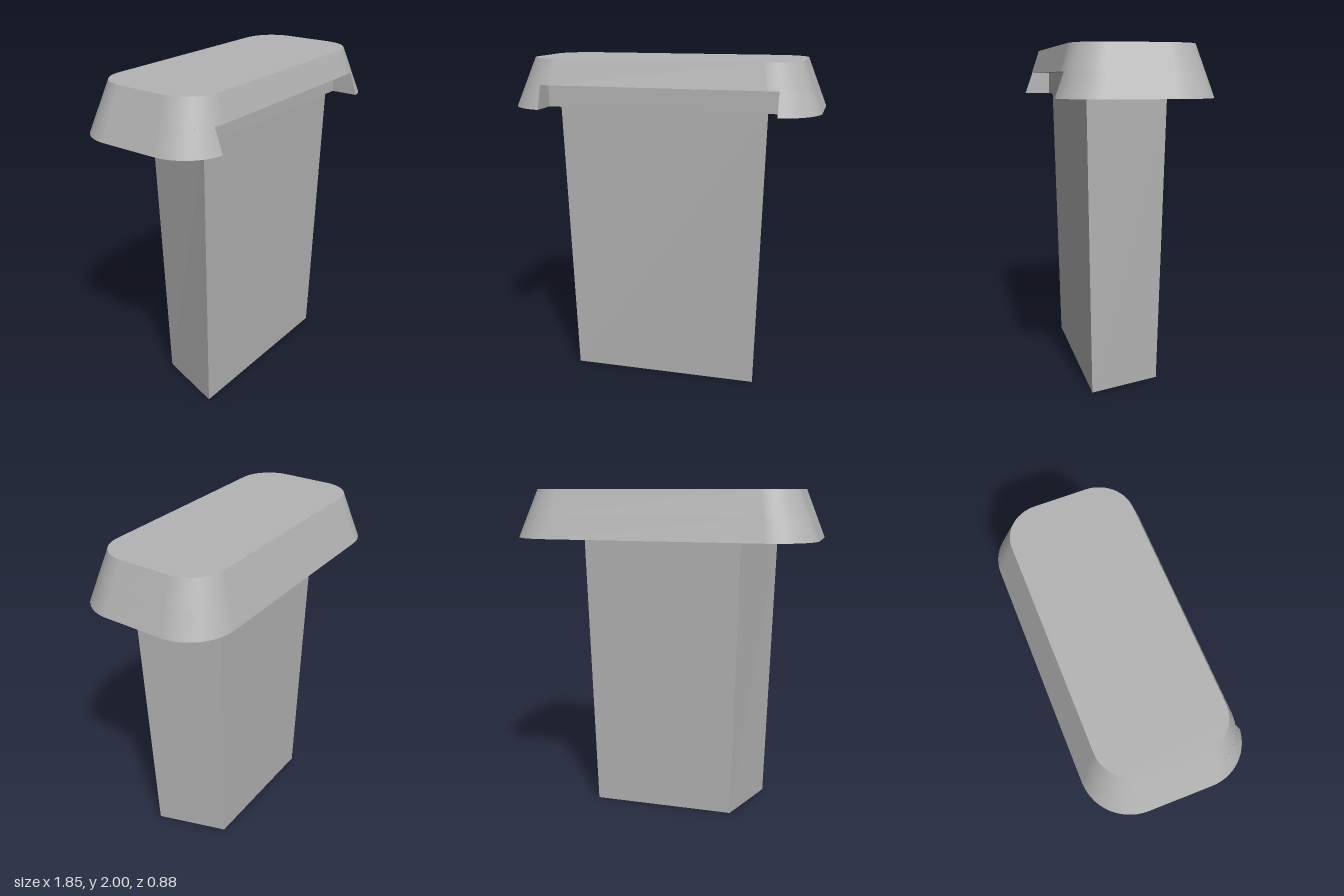
import * as THREE from 'three';

const V = (x, y, z) => new THREE.Vector3(x, y, z);
const NOTCH_X = 0.7, NOTCH_Z = 0.27;          // half width and back wall of the front notch
const Y0 = 1.71, YM = 1.85, Y1 = 2;           // cap underside, notch ceiling, cap top

// Rounded rectangle of the tapering cap at height y, counter-clockwise from above.
// With notched = true it starts and ends at the sides of the front notch.
function outline(y, notched) {
  const t = (y - Y0) / (Y1 - Y0), mix = THREE.MathUtils.lerp;
  const r = mix(0.265, 0.2, t), cx = mix(0.925, 0.81, t) - r, cz = mix(0.442, 0.35, t) - r;
  const start = notched ? Math.acos((NOTCH_X - cx) / r) : Math.PI / 2;
  const right = [], n = 14;
  for (let i = 0; i <= n; i++) {
    const a = start * (1 - i / n);
    right.push(V(cx + r * Math.cos(a), y, cz + r * Math.sin(a)));
  }
  for (let i = 0; i <= n; i++) {
    const a = -Math.PI / 2 * i / n;
    right.push(V(cx + r * Math.cos(a), y, -cz + r * Math.sin(a)));
  }
  const left = right.map(p => V(-p.x, p.y, p.z)).reverse();
  return [...right, ...left];
}

// Wall between two matching rows of points
function wall(low, high, smooth) {
  const pos = [], index = [], n = low.length;
  [...low, ...high].forEach(p => pos.push(p.x, p.y, p.z));
  for (let i = 0; i < n - 1; i++) index.push(i, i + 1, n + i + 1, i, n + i + 1, n + i);
  let g = new THREE.BufferGeometry();
  g.setAttribute('position', new THREE.Float32BufferAttribute(pos, 3));
  g.setIndex(index);
  if (!smooth) g = g.toNonIndexed();
  g.computeVertexNormals();
  return g;
}

// Flat horizontal face through the points, facing up or down
function face(points, up) {
  const s = up ? -1 : 1;
  const g = new THREE.ShapeGeometry(new THREE.Shape(points.map(p => new THREE.Vector2(p.x, s * p.z))));
  return g.rotateX(s * Math.PI / 2).translate(0, points[0].y, 0);
}

export function createModel() {
  const model = new THREE.Group();
  const grey = new THREE.MeshStandardMaterial({ color: 0xb4b4b4 });
  grey.name = 'grey';
  const add = (parent, name, geometry) => {
    const mesh = new THREE.Mesh(geometry, grey);
    mesh.name = name;
    parent.add(mesh);
  };
  const closed = row => [...row, row[0]];

  // Cap
  const cap = new THREE.Group();
  cap.name = 'cap';
  model.add(cap);
  const bottom = outline(Y0, true), ceilingRow = outline(YM, true);
  const middle = outline(YM, false), top = outline(Y1, false);
  add(cap, 'capUpperWall', wall(closed(middle), closed(top), true));
  add(cap, 'capLowerWall', wall(bottom, ceilingRow, true));
  add(cap, 'capTop', face(top, true));

  // Front notch: sides, back wall, ceiling
  const inner = y => [V(-NOTCH_X, y, NOTCH_Z), V(NOTCH_X, y, NOTCH_Z)];
  const notchRow = (row, y) => [row[row.length - 1], ...inner(y), row[0]];
  add(cap, 'notchWalls', wall(notchRow(bottom, Y0), notchRow(ceilingRow, YM), false));
  const frontEdge = middle.filter(p => p.z > 0.3 && Math.abs(p.x) < NOTCH_X - 0.001).sort((a, b) => b.x - a.x);
  add(cap, 'notchCeiling', face(
    [...inner(YM), ceilingRow[0], ...frontEdge, ceilingRow[ceilingRow.length - 1]], false));
  add(cap, 'capUnderside', face([...bottom, ...inner(Y0)], false));

  // Stem: tapers downward and narrows toward the back
  const stem = new THREE.Group();
  stem.name = 'stem';
  model.add(stem);
  const section = (y, front, back, zf, zb) =>
    [V(-front, y, zf), V(front, y, zf), V(back, y, zb), V(-back, y, zb)];
  const foot = section(0, 0.58, 0.44, 0.22, -0.207);
  const neck = section(Y0, 0.627, 0.485, 0.256, -0.24);
  add(stem, 'stemWalls', wall(closed(foot), closed(neck), false));
  add(stem, 'stemBase', face(foot, false));

  return model;
}
